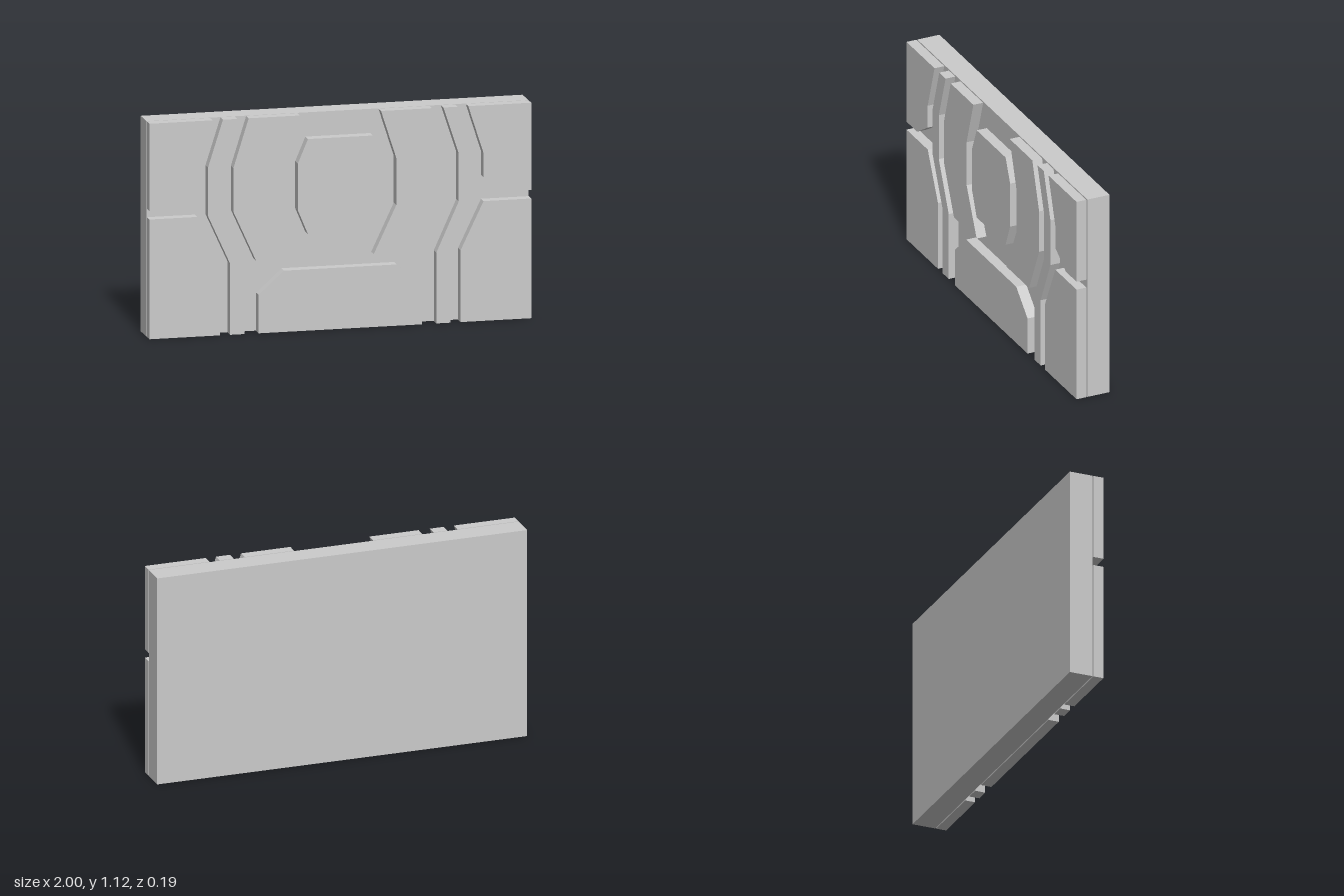
import * as THREE from 'three';

const HEIGHT = 1.125;
const PANEL_BACK = 0.037;

export function createModel() {
  const group = new THREE.Group();
  const material = new THREE.MeshStandardMaterial({ color: 0xcccccc, flatShading: true });

  // Flat panel cut from an outline, floating just in front of the slab
  function addPanel(name, points, front) {
    const shape = new THREE.Shape(points.map(([x, y]) => new THREE.Vector2(x, y)));
    const geometry = new THREE.ExtrudeGeometry(shape, { depth: front - PANEL_BACK, bevelEnabled: false });
    const mesh = new THREE.Mesh(geometry, material);
    mesh.name = name;
    mesh.position.z = PANEL_BACK;
    group.add(mesh);
  }
  const mirror = (points) => points.map(([x, y]) => [-x, y]).reverse();

  // Backing slab
  const slab = new THREE.Mesh(new THREE.BoxGeometry(2, HEIGHT, 0.125), material);
  slab.name = 'backSlab';
  slab.position.set(0, HEIGHT / 2, -0.0315);
  group.add(slab);

  // Panels in left/right pairs, outlined on the +x side
  const pairs = {
    UpperCornerPanel: [[1, HEIGHT], [0.67, HEIGHT], [0.75, 0.875], [0.75, 0.75], [0.875, 0.67], [1, 0.67]],
    LowerCornerPanel: [[1, 0], [1, 0.625], [0.75, 0.625], [0.63, 0.375], [0.63, 0]],
    BentStrip: [
      [0.615, HEIGHT], [0.693, 0.88], [0.693, 0.625], [0.578, 0.372], [0.578, 0],
      [0.503, 0], [0.503, 0.37], [0.62, 0.63], [0.62, 0.88], [0.54, HEIGHT],
    ],
    CurvedPanel: [
      [0.48, HEIGHT], [0.56, 0.87], [0.56, 0.64], [0.442, 0.38],
      [0.175, 0.38], [0.293, 0.63], [0.293, 0.875], [0.213, HEIGHT],
    ],
  };
  for (const [name, points] of Object.entries(pairs)) {
    addPanel('left' + name, points, 0.092);
    addPanel('right' + name, mirror(points), 0.092);
  }

  // Symmetric middle panels, from their +x half
  const centerHalf = [[0.17, 0.503], [0.223, 0.63], [0.223, 0.875], [0.17, 1]];
  const baseHalf = [[0.428, 0], [0.428, 0.2], [0.295, 0.32]];
  addPanel('centerPanel', [...centerHalf, ...mirror(centerHalf)], 0.094);
  addPanel('basePanel', [...baseHalf, ...mirror(baseHalf)], 0.094);

  return group;
}
